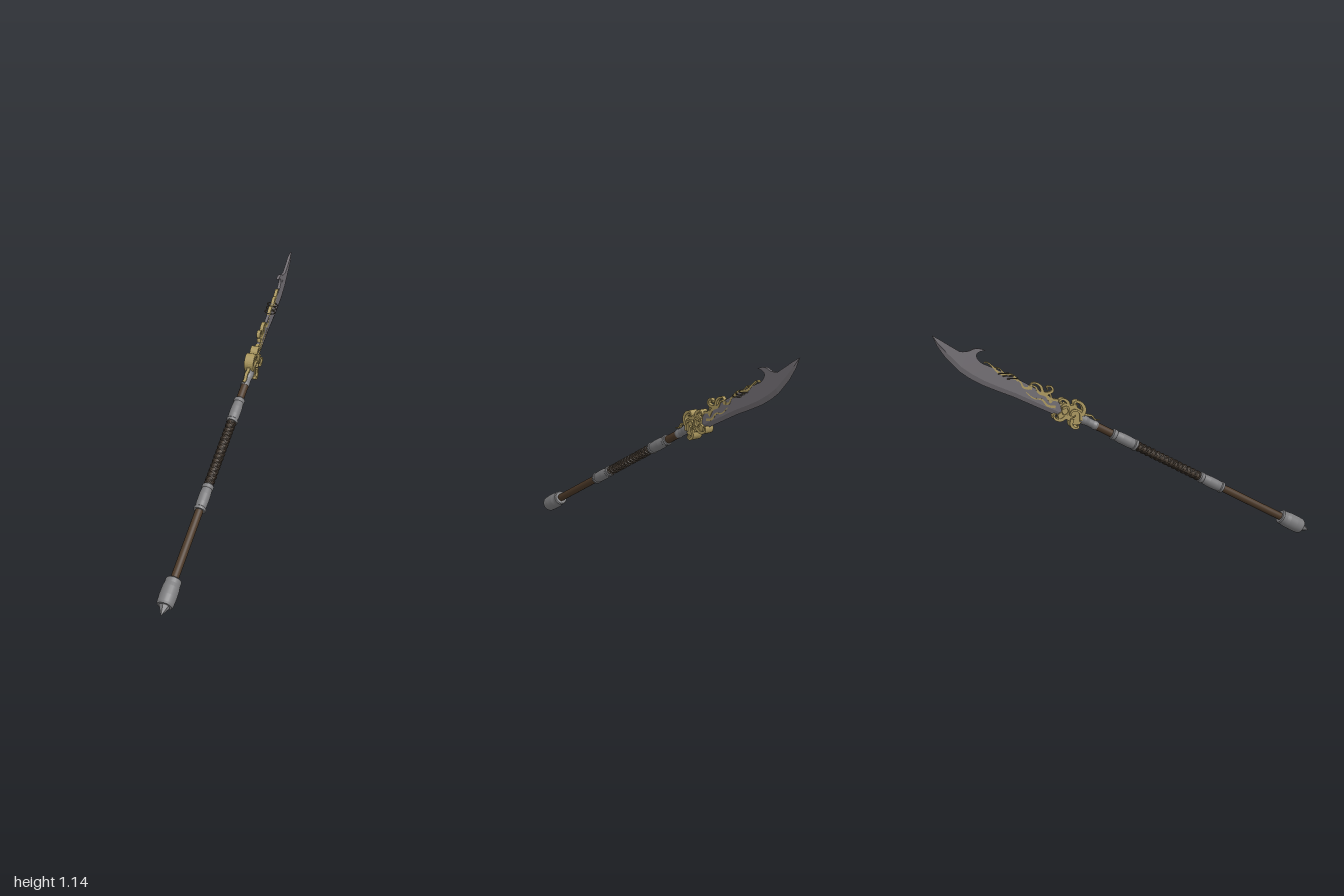
import * as THREE from 'three';

const mat = (name, color, extra = {}) => {
  const m = new THREE.MeshStandardMaterial({ color, ...extra });
  m.name = name;
  return m;
};

export function createModel() {
  const steel = mat('steel', 0x7b7b7d);
  const bladeSteel = mat('bladeSteel', 0x6f6b70, { flatShading: true });
  const wood = mat('wood', 0x4b3827);
  const cord = mat('cord', 0x453a30);
  const gold = mat('gold', 0xa8955c);
  const bronze = mat('bronze', 0x4d4433);

  // Local frame: y runs along the shaft, z points to the back of the blade, x is thickness
  const model = new THREE.Group();
  model.name = 'polearm';
  const weapon = new THREE.Group();
  weapon.name = 'weapon';
  weapon.rotation.x = -1.0716;
  weapon.position.set(0, 0.013, 1);
  model.add(weapon);

  const add = (name, geo, material) => {
    const m = new THREE.Mesh(geo, material);
    m.name = name;
    weapon.add(m);
    return m;
  };
  // Turned part from [radius, height] pairs; doubled points keep the rims crisp
  const turned = (name, pts, material, sides = 24) => {
    const p = [];
    pts.forEach(([r, y], i) => {
      p.push(new THREE.Vector2(r, y));
      if (i > 0 && i < pts.length - 1) p.push(new THREE.Vector2(r, y + 1e-5));
    });
    return add(name, new THREE.LatheGeometry(p, sides), material);
  };
  // Side profile (along shaft, towards back) extruded through the thickness
  const toLocal = new THREE.Matrix4().makeBasis(
    new THREE.Vector3(0, 1, 0), new THREE.Vector3(0, 0, 1), new THREE.Vector3(1, 0, 0));
  const plate = (name, shape, depth, material, x = 0) => {
    const g = new THREE.ExtrudeGeometry(shape, { depth, bevelEnabled: false, curveSegments: 6 });
    g.translate(0, 0, x - depth / 2).applyMatrix4(toLocal);
    return add(name, g, material);
  };
  // Tapering curled ribbon following a curve
  const scroll = (name, pts, width, depth, x = 0) => {
    const curve = new THREE.CatmullRomCurve3(pts.map(([u, v]) => new THREE.Vector3(u, v, 0)));
    const n = 22, left = [], right = [];
    for (let i = 0; i <= n; i++) {
      const t = i / n, p = curve.getPoint(t), d = curve.getTangent(t);
      const w = width * 0.5 * (1 - 0.75 * t);
      left.push(new THREE.Vector2(p.x - d.y * w, p.y + d.x * w));
      right.unshift(new THREE.Vector2(p.x + d.y * w, p.y - d.x * w));
    }
    return plate(name, new THREE.Shape([...left, ...right]), depth, gold, x);
  };

  // Shaft
  turned('shaft', [[0, 0.17], [0.02, 0.17], [0.02, 1.4], [0, 1.4]], wood);

  // Pommel with faceted spike
  turned('pommel', [[0, 0.052], [0.036, 0.052], [0.041, 0.062], [0.043, 0.1], [0.042, 0.145],
    [0.039, 0.165], [0.039, 0.188], [0.034, 0.194], [0, 0.194]], steel);
  const spike = new THREE.ConeGeometry(0.03, 0.056, 6).toNonIndexed();
  spike.computeVertexNormals();
  spike.rotateX(Math.PI).translate(0, 0.028, 0);
  add('pommelSpike', spike, steel);

  // Two ferrules, mirrored about the grip
  const ferrule = [[0.018, 0], [0.029, 0], [0.031, 0.006], [0.031, 0.014], [0.027, 0.018], [0.029, 0.045],
    [0.029, 0.09], [0.026, 0.125], [0.029, 0.13], [0.029, 0.145], [0.025, 0.15], [0.018, 0.15]];
  turned('lowerFerrule', ferrule.map(([r, y]) => [r, 0.58 + y]), steel);
  turned('upperFerrule', ferrule.map(([r, y]) => [r, 1.122 + y]), steel);

  // Grip: crossing cords wound around a core
  turned('gripCore', [[0.021, 0.72], [0.021, 1.13]], cord);
  for (const hand of [1, -1]) {
    for (const start of [0, Math.PI]) {
      const pts = [];
      for (let i = 0; i <= 110; i++) {
        const a = start + hand * i / 110 * Math.PI * 2 * 7;
        pts.push(new THREE.Vector3(Math.cos(a) * 0.0215, 0.732 + 0.388 * i / 110, Math.sin(a) * 0.0215));
      }
      add('gripCord', new THREE.TubeGeometry(new THREE.CatmullRomCurve3(pts), 200, 0.0045, 6), cord);
    }
  }

  // Socket below the guard
  turned('socket', [[0.018, 1.36], [0.022, 1.36], [0.024, 1.37], [0.021, 1.385], [0.021, 1.41],
    [0.025, 1.43], [0.025, 1.46], [0, 1.46]], steel);

  // Blade from cross-sections: [along, back, bevel line, edge]
  const rows = [[1.46, 0.02, -0.012, -0.028], [1.57, 0.026, -0.02, -0.041], [1.67, 0.031, -0.025, -0.046],
    [1.81, 0.036, -0.03, -0.052], [1.9, 0.036, -0.038, -0.061], [1.98, 0.031, -0.043, -0.067],
    [2.05, 0.026, -0.04, -0.065], [2.11, 0.028, -0.032, -0.056], [2.2, 0.034, -0.003, -0.025],
    [2.26, 0.039, 0.018, 0.007], [2.302, 0.041, 0.04, 0.039]];
  const pos = [], idx = [];
  rows.forEach(([u, back, bevel, edge], i) => {
    const t = i === rows.length - 1 ? 0.003 : 0.0075;
    pos.push(t, u, back, t, u, bevel, 0, u, edge, -t, u, bevel, -t, u, back);
    if (i === 0) return;
    for (let k = 0; k < 5; k++) {
      const a = (i - 1) * 5 + k, b = (i - 1) * 5 + (k + 1) % 5;
      idx.push(a, a + 5, b, b, a + 5, b + 5);
    }
  });
  const e = pos.length / 3 - 5;
  for (let k = 1; k < 4; k++) idx.push(0, k, k + 1, e, e + k + 1, e + k);
  // Faces wind outward with x as the first side
  for (let i = 0; i < idx.length; i += 3) [idx[i + 1], idx[i + 2]] = [idx[i + 2], idx[i + 1]];
  const blade = new THREE.BufferGeometry();
  blade.setAttribute('position', new THREE.Float32BufferAttribute(pos, 3));
  blade.setIndex(idx);
  blade.computeVertexNormals();
  bladeSteel.side = THREE.DoubleSide;
  add('blade', blade, bladeSteel);

  // Back hook of the blade
  const hook = new THREE.Shape();
  hook.moveTo(2.02, 0.015);
  hook.lineTo(2.03, 0.028);
  hook.quadraticCurveTo(2.072, 0.036, 2.072, 0.058);
  hook.quadraticCurveTo(2.066, 0.076, 2.04, 0.09);
  hook.quadraticCurveTo(2.078, 0.09, 2.1, 0.068);
  hook.quadraticCurveTo(2.112, 0.046, 2.15, 0.031);
  hook.lineTo(2.15, 0.015);
  plate('bladeHook', hook, 0.0145, bladeSteel);

  // Guard: stepped core with curled ornament on both faces and rims
  const core = new THREE.Shape([[1.45, -0.03], [1.475, -0.045], [1.5, -0.036], [1.53, -0.036], [1.56, -0.05],
    [1.575, -0.035], [1.562, -0.01], [1.58, 0.01], [1.568, 0.036], [1.54, 0.032], [1.52, 0.048],
    [1.49, 0.04], [1.462, 0.04], [1.445, 0.01]].map(([u, v]) => new THREE.Vector2(u, v)));
  plate('guardCore', core, 0.038, gold);
  scroll('guardUpperCurl', [[1.46, 0.015], [1.465, 0.05], [1.5, 0.07], [1.525, 0.06], [1.518, 0.044], [1.504, 0.05]], 0.02, 0.05);
  scroll('guardFrontCurl', [[1.54, 0.02], [1.56, 0.045], [1.59, 0.045], [1.598, 0.028], [1.585, 0.022]], 0.018, 0.042);
  scroll('guardLowerCurl', [[1.5, -0.02], [1.49, -0.05], [1.465, -0.057], [1.452, -0.043], [1.463, -0.035]], 0.018, 0.058);
  scroll('guardEdgeCurl', [[1.53, -0.02], [1.55, -0.052], [1.58, -0.058], [1.593, -0.042], [1.58, -0.034]], 0.018, 0.05);
  for (const x of [-0.023, 0.023]) {
    scroll('guardFaceCurl', [[1.455, -0.01], [1.48, 0.025], [1.515, 0.02], [1.52, -0.005], [1.5, -0.012], [1.492, 0.002]], 0.013, 0.013, x);
    scroll('guardFaceCurl', [[1.57, 0.005], [1.55, 0.022], [1.532, 0.0], [1.545, -0.022], [1.562, -0.014]], 0.012, 0.012, x);
  }
  // Tendril trailing back over the socket
  scroll('guardTendril', [[1.47, 0.04], [1.44, 0.028], [1.41, 0.036], [1.385, 0.026], [1.36, 0.034]], 0.014, 0.016);

  // Gilded flourishes along the blade back
  [
    [[1.56, 0.01], [1.6, 0.03], [1.635, 0.022], [1.655, 0.04], [1.69, 0.035]],
    [[1.7, 0.024], [1.665, 0.04], [1.65, 0.062], [1.67, 0.076], [1.686, 0.064], [1.674, 0.054]],
    [[1.63, 0.005], [1.67, 0.025], [1.71, 0.022], [1.74, 0.04], [1.77, 0.03], [1.765, 0.012]],
    [[1.69, 0.03], [1.72, 0.056], [1.755, 0.054], [1.765, 0.038]],
    [[1.6, -0.005], [1.64, -0.016], [1.68, -0.002], [1.72, -0.014], [1.77, -0.004]],
    [[1.75, 0.026], [1.79, 0.012], [1.82, 0.03], [1.86, 0.028]],
    [[1.83, 0.03], [1.87, 0.041], [1.91, 0.031], [1.94, 0.042], [1.975, 0.03]],
    [[1.9, 0.024], [1.94, 0.024], [1.975, 0.036], [2.01, 0.042], [2.02, 0.032]],
  ].forEach((p, i) => scroll('bladeFlourish', p, i < 4 ? 0.016 : 0.013, i < 4 ? 0.019 : 0.017));

  // Three loose rings through the blade back, lying level
  [[0.926, -0.62], [0.94, -0.642], [0.953, -0.664]].forEach(([y, z]) => {
    const ring = new THREE.Mesh(new THREE.TorusGeometry(0.027, 0.0028, 8, 28).rotateX(Math.PI / 2), bronze);
    ring.name = 'bladeRing';
    ring.position.set(0, y, z);
    ring.rotation.z = -0.17;
    model.add(ring);
  });
  return model;
}
